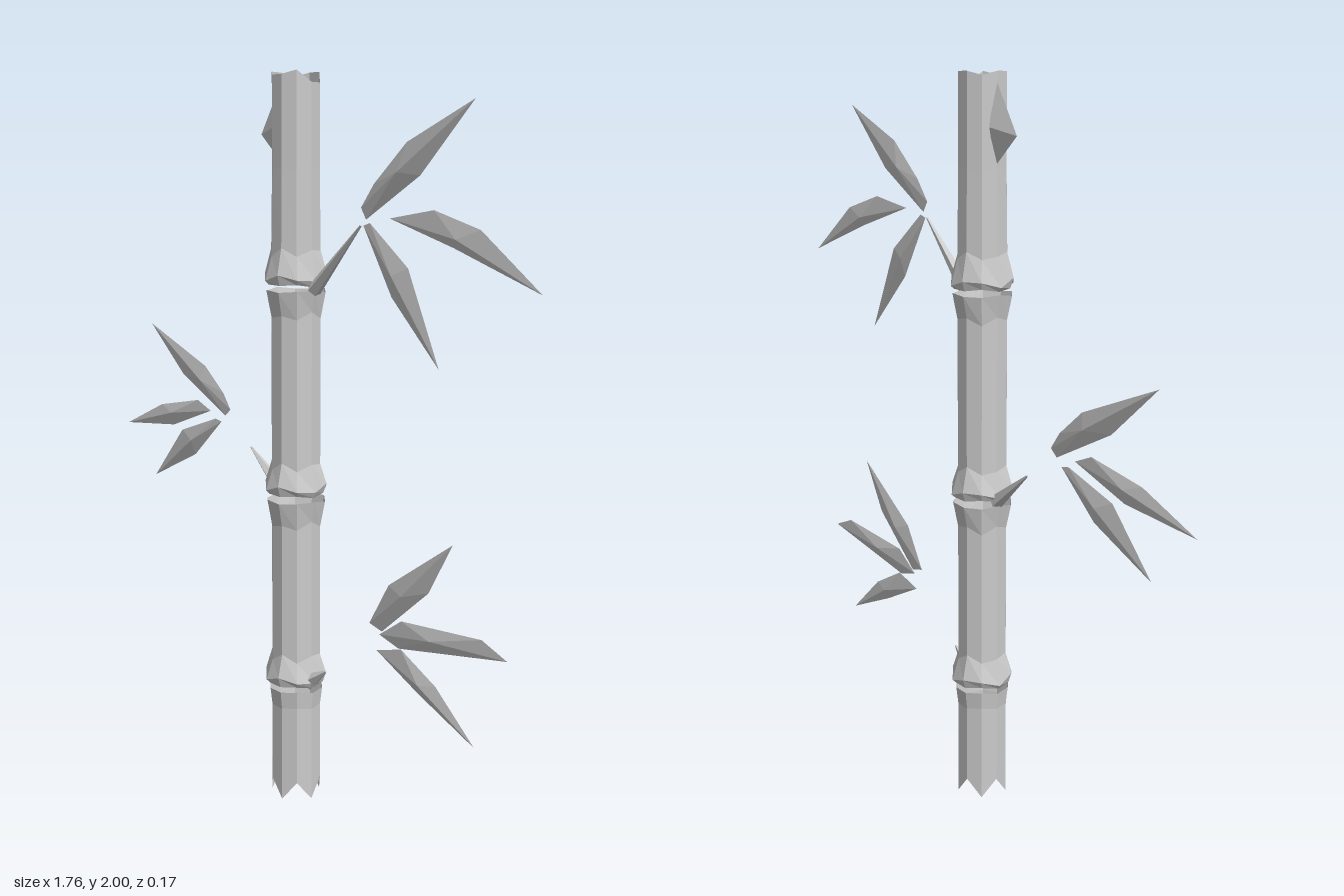
import * as THREE from 'three';

const material = new THREE.MeshStandardMaterial({ color: 0xcccccc, flatShading: true, side: THREE.DoubleSide });
const SIDES = 10;
const STALK_X = -0.018;

function addMesh(parent, geometry, name) {
  const mesh = new THREE.Mesh(geometry, material);
  mesh.name = name;
  parent.add(mesh);
  return mesh;
}

// Open hollow stalk section; profile is a list of [radius, y]
function section(profile, shiftY) {
  const points = profile.map(([r, y]) => new THREE.Vector2(r, y));
  const geometry = new THREE.LatheGeometry(points, SIDES, Math.PI / SIDES);
  const p = geometry.attributes.position;
  for (let i = 0; i < p.count; i++) {
    const ring = i % points.length;
    const side = Math.floor(i / points.length) % SIDES;
    p.setY(i, p.getY(i) + shiftY(ring, side, points.length));
  }
  geometry.translate(STALK_X, 0, 0);
  return geometry;
}

// Thin solid: flat outline in xy, swelling to a ridge point in front and behind
function blade(outline, thickness, ridge) {
  const n = outline.length;
  const c = ridge || [0, 1].map(k => outline.reduce((s, q) => s + q[k], 0) / n);
  const positions = [];
  outline.forEach(([x, y]) => positions.push(x, y, 0));
  positions.push(c[0], c[1], thickness, c[0], c[1], -thickness);
  const index = [];
  const clockwise = outline.reduce((s, a, i) => {
    const b = outline[(i + 1) % n];
    return s + a[0] * b[1] - b[0] * a[1];
  }, 0) < 0;
  for (let i = 0; i < n; i++) {
    let a = i, b = (i + 1) % n;
    if (clockwise) [a, b] = [b, a];
    index.push(a, b, n, b, a, n + 1);
  }
  const geometry = new THREE.BufferGeometry();
  geometry.setAttribute('position', new THREE.Float32BufferAttribute(positions, 3));
  geometry.setIndex(index);
  geometry.computeVertexNormals();
  return geometry;
}

// Four-sided tapering shoot between two points
function shoot(from, to, radius) {
  const a = new THREE.Vector3(...from), b = new THREE.Vector3(...to);
  const dir = b.clone().sub(a);
  const geometry = new THREE.CylinderGeometry(0.003, radius, dir.length(), 5, 2);
  geometry.applyQuaternion(new THREE.Quaternion().setFromUnitVectors(new THREE.Vector3(0, 1, 0), dir.clone().normalize()));
  geometry.translate(...a.add(b).multiplyScalar(0.5).toArray());
  return geometry;
}

export function createModel() {
  const model = new THREE.Group();
  model.name = 'bamboo';

  // Stalk sections, flared into lips at the nodes
  const stalk = new THREE.Group();
  stalk.name = 'stalk';
  model.add(stalk);
  const wobble = (ring, side, count) => (ring === 0 || ring === count - 1 ? 0.004 : 0.012) * Math.sin(side * 2.4 + ring);
  // Broken lower end with jagged teeth
  const teeth = (ring, side) => (ring === 0 ? (side % 2 ? 0.05 : 0) : 0.003 * Math.sin(side * 2.4));
  // Split upper rim
  const rim = (ring, side, count) => {
    if (ring < count - 1) return wobble(ring, side, count);
    return side === 2 || side === 3 ? -0.03 : side % 3 ? 0 : -0.01;
  };
  addMesh(stalk, section([[0.07, 0.005], [0.07, 0.27], [0.076, 0.318]], teeth), 'stalkBase');
  const middle = (y0, y1) => [[0.078, y0], [0.087, y0 + 0.018], [0.069, y0 + 0.08], [0.069, y1 - 0.07], [0.083, y1 - 0.003]];
  addMesh(stalk, section(middle(0.334, 0.858), wobble), 'stalkLower');
  addMesh(stalk, section(middle(0.872, 1.43), wobble), 'stalkMiddle');
  addMesh(stalk, section([[0.078, 1.442], [0.087, 1.46], [0.069, 1.53], [0.066, 1.75], [0.066, 2]], rim), 'stalkTop');

  // Shoots growing from the nodes
  addMesh(model, shoot([0.06, 1.43, 0], [0.25, 1.605, 0], 0.02), 'shootTop');
  addMesh(model, shoot([-0.085, 0.87, 0], [-0.225, 0.97, 0], 0.022), 'shootMiddle');
  addMesh(model, shoot([0.04, 0.345, 0], [0.115, 0.392, 0], 0.025), 'shootLower');

  // Husk sticking out near the top
  addMesh(model, blade([[-0.075, 1.985], [-0.17, 1.84], [-0.075, 1.76]], 0.022, [-0.08, 1.86]), 'husk');

  // Leaf sprays, three blades each; outlines start at the stem end
  const sprays = {
    leavesTop: [
      [[0.27, 1.62], [0.25, 1.65], [0.3, 1.71], [0.42, 1.81], [0.655, 1.905], [0.47, 1.73]],
      [[0.36, 1.625], [0.52, 1.648], [0.68, 1.605], [0.88, 1.465], [0.59, 1.56]],
      [[0.26, 1.605], [0.285, 1.612], [0.43, 1.505], [0.545, 1.265], [0.37, 1.43]],
    ],
    leavesMiddle: [
      [[-0.35, 1.045], [-0.325, 1.065], [-0.36, 1.11], [-0.45, 1.18], [-0.735, 1.285], [-0.565, 1.145]],
      [[-0.425, 1.05], [-0.49, 1.075], [-0.685, 1.04], [-0.88, 0.96], [-0.62, 0.985]],
      [[-0.37, 1.025], [-0.4, 1.03], [-0.575, 0.975], [-0.725, 0.815], [-0.505, 0.91]],
    ],
    leavesLower: [
      [[0.345, 0.56], [0.295, 0.572], [0.37, 0.69], [0.605, 0.84], [0.52, 0.7]],
      [[0.335, 0.55], [0.42, 0.605], [0.71, 0.625], [0.797, 0.592], [0.41, 0.53]],
      [[0.325, 0.505], [0.42, 0.53], [0.55, 0.465], [0.692, 0.345], [0.485, 0.43]],
    ],
  };
  for (const [name, blades] of Object.entries(sprays)) {
    const spray = new THREE.Group();
    spray.name = name;
    model.add(spray);
    blades.forEach(outline => addMesh(spray, blade(outline, 0.011), 'leaf'));
  }
  return model;
}
